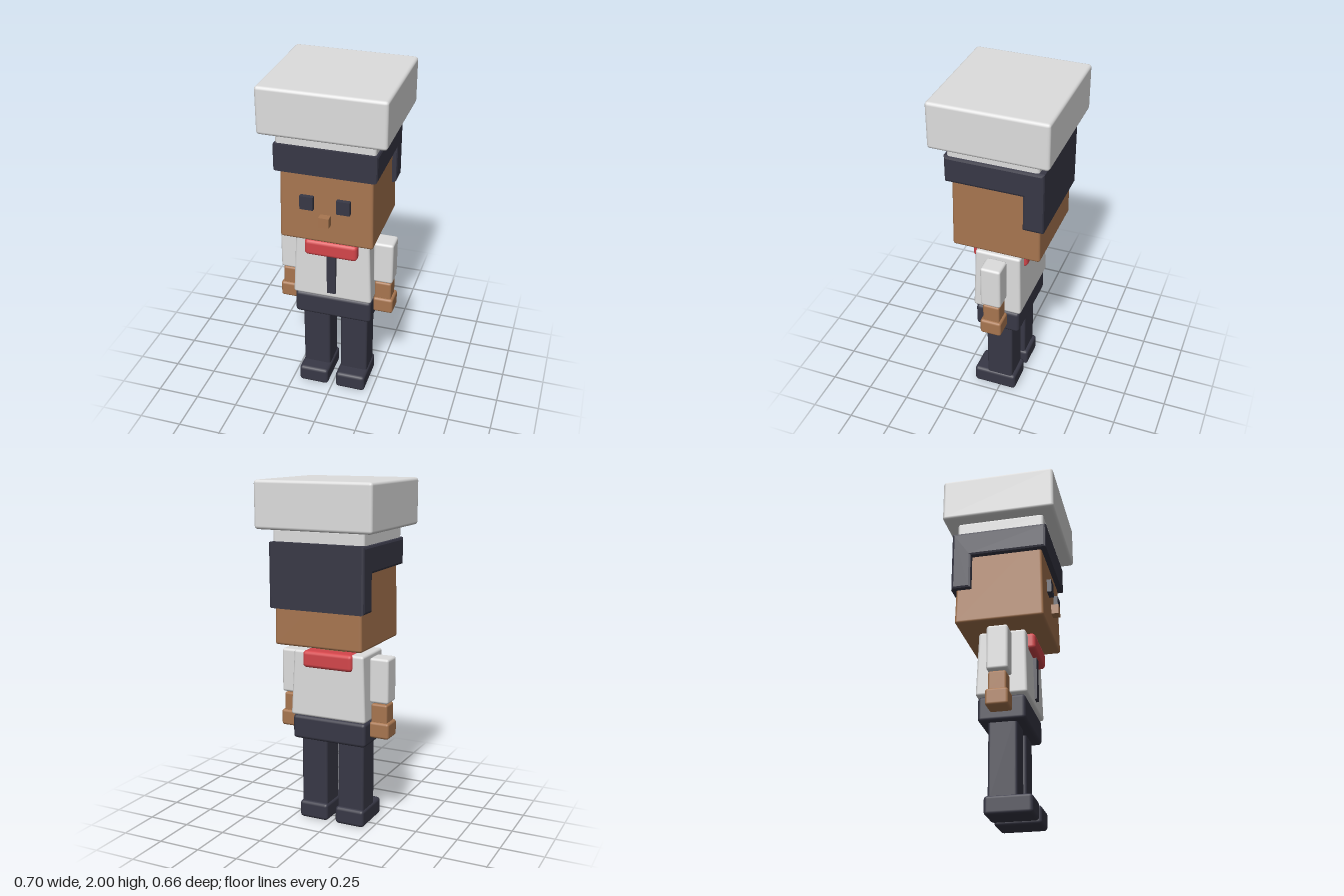
import * as THREE from 'three';
import { RoundedBoxGeometry } from 'three/addons/geometries/RoundedBoxGeometry.js';

const mat = (name, color) => Object.assign(new THREE.MeshStandardMaterial({ color }), { name });

// Scales x and z linearly from 1 at the bottom to `top` at the top.
function taper(geometry, height, top) {
  const p = geometry.attributes.position;
  for (let i = 0; i < p.count; i++) {
    const k = 1 + (top - 1) * (p.getY(i) / height + 0.5);
    p.setX(i, p.getX(i) * k);
    p.setZ(i, p.getZ(i) * k);
  }
  return geometry;
}

export function createModel() {
  const group = new THREE.Group();
  group.name = 'blockCook';
  const white = mat('white cloth', 0xdedede);
  const skin = mat('skin', 0xa87650);
  const dark = mat('dark navy', 0x383846);
  const red = mat('red scarf', 0xd4464b);

  // Box from min/max ranges, with rounded edges when r > 0.
  function box(name, material, [x0, x1], [y0, y1], [z0, z1], r = 0.015, top = 1) {
    const w = x1 - x0, h = y1 - y0, d = z1 - z0;
    const geometry = r > 0 ? new RoundedBoxGeometry(w, h, d, 2, r) : new THREE.BoxGeometry(w, h, d);
    const mesh = new THREE.Mesh(top === 1 ? geometry : taper(geometry, h, top), material);
    mesh.name = name;
    mesh.position.set((x0 + x1) / 2, (y0 + y1) / 2, (z0 + z1) / 2);
    group.add(mesh);
  }

  // Mirrored pair, given the ranges of the left (+x) one.
  function pair(name, material, [x0, x1], y, z, r) {
    box(name + 'Left', material, [x0, x1], y, z, r);
    box(name + 'Right', material, [-x1, -x0], y, z, r);
  }

  // Hat
  box('hatCrown', white, [-0.35, 0.35], [1.735, 2], [-0.33, 0.33], 0.018);
  box('hatBand', white, [-0.275, 0.275], [1.6, 1.74], [-0.255, 0.255]);

  // Hair: L-shaped side profile (z, y) extruded across the head
  const profile = new THREE.Shape([
    [0.27, 1.51], [0.27, 1.667], [-0.285, 1.667], [-0.285, 1.3], [-0.168, 1.3], [-0.168, 1.51],
  ].map(([z, y]) => new THREE.Vector2(z, y)));
  const bevel = 0.015;
  const hairGeometry = new THREE.ExtrudeGeometry(profile, {
    depth: 0.575 - 2 * bevel, bevelThickness: bevel, bevelSize: bevel, bevelOffset: -bevel, bevelSegments: 2,
  });
  hairGeometry.translate(0, 0, bevel - 0.575 / 2).rotateY(-Math.PI / 2);
  const hair = new THREE.Mesh(hairGeometry, dark);
  hair.name = 'hair';
  group.add(hair);

  // Head and face
  box('head', skin, [-0.266, 0.266], [1.09, 1.62], [-0.264, 0.246], 0.015, 0.965);
  pair('eye', dark, [0.065, 0.141], [1.297, 1.376], [0.245, 0.271], 0);
  box('nose', skin, [-0.03, 0.03], [1.212, 1.27], [0.248, 0.29], 0);
  box('neck', skin, [-0.08, 0.08], [1, 1.09], [-0.08, 0.08], 0.012);

  // Jacket, scarf and placket
  box('torso', white, [-0.235, 0.235], [0.652, 1.038], [-0.144, 0.144], 0.015, 0.925);
  box('scarf', red, [-0.155, 0.155], [0.943, 1.042], [-0.153, 0.175], 0.022);
  box('placket', dark, [-0.026, 0.026], [0.692, 0.96], [0.12, 0.157], 0);

  // Arms
  pair('sleeve', white, [0.222, 0.338], [0.757, 1.018], [-0.06, 0.06], 0.015);
  pair('forearm', skin, [0.23, 0.329], [0.635, 0.75], [-0.05, 0.05], 0.012);
  pair('hand', skin, [0.224, 0.344], [0.55, 0.645], [-0.063, 0.063], 0.015);

  // Hips, legs and shoes
  box('hips', dark, [-0.23, 0.23], [0.505, 0.647], [-0.132, 0.132], 0.02);
  pair('leg', dark, [0.034, 0.199], [0.08, 0.53], [-0.08, 0.08], 0.015);
  pair('shoe', dark, [0.025, 0.207], [0, 0.105], [-0.1, 0.163], 0.02);

  return group;
}
